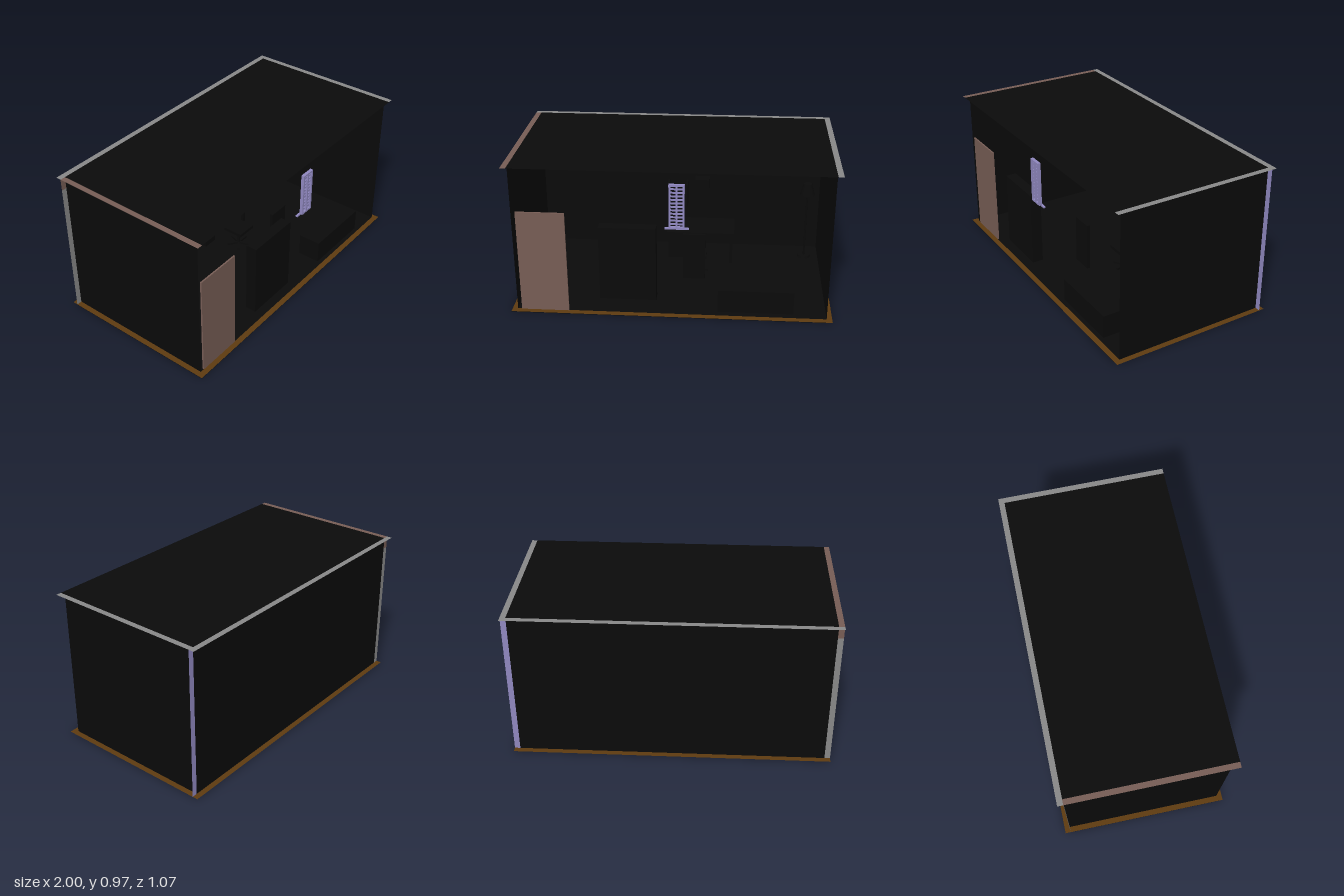
import * as THREE from 'three';

const mat = (name, color) => {
  const m = new THREE.MeshStandardMaterial({ color, side: THREE.DoubleSide });
  m.name = name;
  return m;
};

export function createModel() {
  const black = mat('black', 0x0a0a0a);
  const grey = mat('grey', 0x888888);
  const lilac = mat('lilac', 0x9088c0);
  const brown = mat('dusty brown', 0x775d55);
  const ochre = mat('dark ochre', 0x5e3b10);
  const root = new THREE.Group();
  root.name = 'room';

  const group = (name) => {
    const g = new THREE.Group();
    g.name = name;
    root.add(g);
    return g;
  };
  const add = (parent, name, geo, m) => {
    const mesh = new THREE.Mesh(geo, m);
    mesh.name = name;
    parent.add(mesh);
    return mesh;
  };
  // Box given by its extents on each axis
  const box = (parent, name, m, x0, x1, y0, y1, z0, z1) =>
    add(parent, name, new THREE.BoxGeometry(x1 - x0, y1 - y0, z1 - z0), m)
      .position.set((x0 + x1) / 2, (y0 + y1) / 2, (z0 + z1) / 2);
  // Horizontal sheet, facing up
  const sheet = (parent, name, m, x0, x1, z0, z1, y) => {
    const s = add(parent, name, new THREE.PlaneGeometry(x1 - x0, z1 - z0).rotateX(-Math.PI / 2), m);
    s.position.set((x0 + x1) / 2, y, (z0 + z1) / 2);
  };
  // Upright sheet facing front
  const upright = (parent, name, m, x0, x1, y0, y1, z) => {
    const s = add(parent, name, new THREE.PlaneGeometry(x1 - x0, y1 - y0), m);
    s.position.set((x0 + x1) / 2, (y0 + y1) / 2, z);
  };
  const rod = (parent, name, m, r0, r1, h, x, y, z, sides = 16) =>
    add(parent, name, new THREE.CylinderGeometry(r0, r1, h, sides), m).position.set(x, y, z);

  const W = 0.965, D = 0.5, E = 0.535, H = 0.967;

  // Walls: back and two sides, front left open
  const walls = group('walls');
  upright(walls, 'backWall', black, -W, W, 0, H, -D);
  for (const s of [-1, 1]) {
    const side = add(walls, s > 0 ? 'leftWall' : 'rightWall', new THREE.PlaneGeometry(2 * D, H), black);
    side.rotation.y = s * Math.PI / 2;
    side.position.set(s * W, H / 2, 0);
  }
  upright(walls, 'leftCornerStrip', lilac, W, 1, 0, H, -D);
  upright(walls, 'rightCornerStrip', grey, -1, -W, 0, 0.89, -D);
  upright(walls, 'rightCornerCap', brown, -1, -W, 0.89, H, -D);

  // Roof with coloured eaves
  const roof = group('roof');
  sheet(roof, 'roofPanel', black, -W, W, -D, E, H);
  sheet(roof, 'backEave', grey, -1, 1, -E, -D, H);
  sheet(roof, 'leftEave', grey, W, 1, -D, E, H);
  sheet(roof, 'rightEave', brown, -1, -W, -D, E, H);

  // Floor with ochre border
  const floor = group('floor');
  sheet(floor, 'floorUnderside', black, -1, W, -D, E, 0);
  sheet(floor, 'floorBorder', ochre, -1, 1, -E, E, 0.003);
  sheet(floor, 'floorCarpet', black, -W, W, -D, D, 0.006);

  // Door and wide panel on the front line
  box(group('door'), 'doorLeaf', brown, -0.94, -0.64, 0.003, 0.672, 0.49, 0.5);
  box(group('cabinet'), 'cabinetBody', black, -0.44, -0.09, 0.1, 0.585, 0.43, 0.5);

  // Louvred window
  const win = group('window');
  const x0 = -0.01, x1 = 0.085, y0 = 0.605, y1 = 0.89, z0 = 0.51, z1 = 0.53, b = 0.012;
  const mid = (x0 + x1) / 2;
  box(win, 'windowRightPost', lilac, x0, x0 + b, y0, y1, z0, z1);
  box(win, 'windowLeftPost', lilac, x1 - b, x1, y0, y1, z0, z1);
  box(win, 'windowTop', lilac, x0 + b, x1 - b, y1 - b, y1, z0, z1);
  box(win, 'windowBottom', lilac, x0 + b, x1 - b, y0, y0 + b, z0, z1);
  box(win, 'windowMullion', lilac, mid - 0.006, mid + 0.006, y0 + b, y1 - b, z0, z1);
  for (let i = 0; i < 11; i++) {
    const y = y0 + b + 0.012 + i * 0.0225;
    box(win, 'slat', lilac, x0 + b, x1 - b, y, y + 0.01, z0 + 0.006, z0 + 0.012);
  }
  box(win, 'windowSill', lilac, -0.035, 0.11, 0.594, 0.603, 0.498, 0.512);

  // Desk with drawers
  const desk = group('desk');
  box(desk, 'deskTop', black, -0.08, 0.38, 0.215, 0.235, -0.44, -0.19);
  box(desk, 'drawers', black, -0.07, 0.03, 0.04, 0.215, -0.43, -0.2);
  for (const z of [-0.42, -0.21]) box(desk, 'deskLeg', black, 0.35, 0.37, 0.006, 0.215, z - 0.01, z + 0.01);

  // Swivel chair
  const chair = group('chair');
  for (let i = 0; i < 5; i++) {
    const a = i * Math.PI * 0.4;
    const foot = add(chair, 'chairFoot', new THREE.BoxGeometry(0.08, 0.012, 0.014), black);
    foot.position.set(0.13 + 0.04 * Math.cos(a), 0.02, -0.07 - 0.04 * Math.sin(a));
    foot.rotation.y = a;
  }
  rod(chair, 'chairPost', black, 0.009, 0.009, 0.12, 0.13, 0.08, -0.07);
  box(chair, 'chairSeat', black, 0.06, 0.2, 0.135, 0.155, -0.14, 0);

  // Standing panel
  box(group('screen'), 'screenPanel', black, 0.06, 0.2, 0.13, 0.44, 0.24, 0.26);

  // Shelves and picture on the back wall
  const shelf = group('shelves');
  for (const y of [0.33, 0.42]) box(shelf, 'shelfBoard', black, -0.09, 0.05, y, y + 0.012, -0.497, -0.4);
  for (const x of [-0.09, 0.038]) box(shelf, 'shelfSide', black, x, x + 0.012, 0.33, 0.5, -0.497, -0.4);
  box(shelf, 'shelfBox', black, 0.1, 0.2, 0.45, 0.53, -0.497, -0.42);
  box(group('picture'), 'pictureBoard', black, 0.2, 0.4, 0.45, 0.68, -0.497, -0.48);

  // Low bench
  const bench = group('bench');
  box(bench, 'benchBody', black, 0.29, 0.76, 0.02, 0.17, 0.33, 0.48);

  // Floor lamp
  const lamp = group('floorLamp');
  rod(lamp, 'lampBase', black, 0.04, 0.045, 0.012, 0.87, 0.012, -0.35, 24);
  rod(lamp, 'lampPole', black, 0.006, 0.006, 0.48, 0.87, 0.25, -0.35);
  rod(lamp, 'lampShade', black, 0.028, 0.05, 0.08, 0.87, 0.515, -0.35, 24);

  return root;
}
